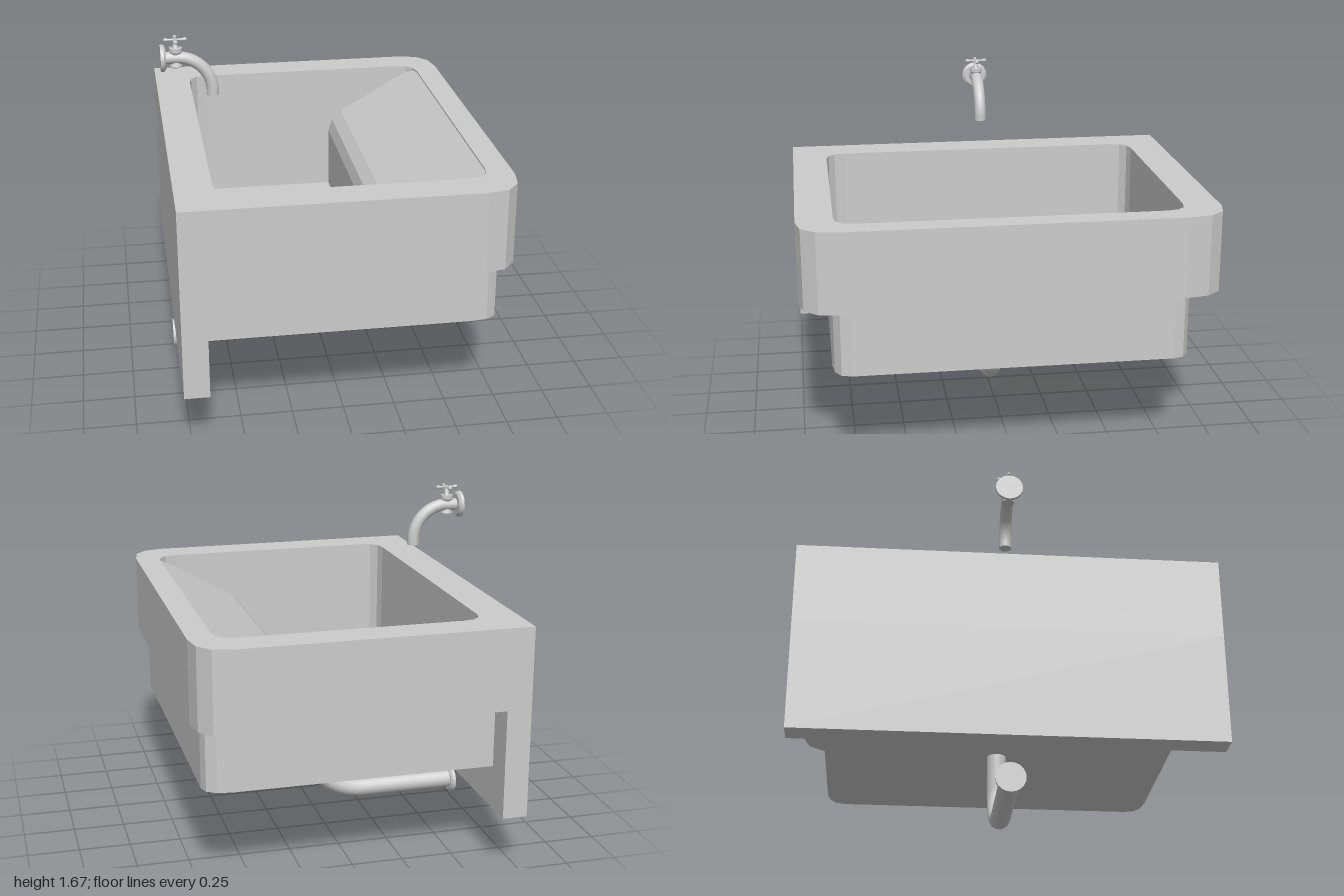
import * as THREE from 'three';

const V = (x, y, z = 0) => new THREE.Vector3(x, y, z);
const material = new THREE.MeshStandardMaterial({ color: 0xcccccc });

function add(parent, name, geometry, x = 0, y = 0, z = 0) {
  const mesh = new THREE.Mesh(geometry, material);
  mesh.name = name;
  mesh.position.set(x, y, z);
  parent.add(mesh);
  return mesh;
}

// Plan outline, square at the wall and rounded (cx by cz) at the outer corners
function planShape(x0, x1, z, cx, cz) {
  const s = new THREE.Shape();
  s.moveTo(x0, -z);
  s.lineTo(x1 - cx, -z);
  s.quadraticCurveTo(x1, -z, x1, -z + cz);
  s.lineTo(x1, z - cz);
  s.quadraticCurveTo(x1, z, x1 - cx, z);
  s.lineTo(x0, z);
  s.closePath();
  return s;
}

// Basin opening with four rounded corners
function basinHole(x0, x1, z, r) {
  const p = new THREE.Path();
  p.moveTo(x0 + r, -z);
  p.lineTo(x1 - r, -z);
  p.quadraticCurveTo(x1, -z, x1, -z + r);
  p.lineTo(x1, z - r);
  p.quadraticCurveTo(x1, z, x1 - r, z);
  p.lineTo(x0 + r, z);
  p.quadraticCurveTo(x0, z, x0, z - r);
  p.lineTo(x0, -z + r);
  p.quadraticCurveTo(x0, -z, x0 + r, -z);
  return p;
}

// Extrude a plan outline upwards
function slab(shape, y0, y1) {
  const g = new THREE.ExtrudeGeometry(shape, { depth: y1 - y0, bevelEnabled: false, curveSegments: 3 });
  return g.rotateX(-Math.PI / 2).translate(0, y0, 0);
}

function lathe(points, sides = 16) {
  return new THREE.LatheGeometry(points.map(([r, y]) => new THREE.Vector2(r, y)), sides);
}

// Straight, quarter bend, straight
function bentPipe(a, b, corner, c, d, radius, segments) {
  const k = 0.55;
  const path = new THREE.CurvePath();
  path.add(new THREE.LineCurve3(a, b));
  path.add(new THREE.CubicBezierCurve3(b, b.clone().lerp(corner, k), c.clone().lerp(corner, k), c));
  path.add(new THREE.LineCurve3(c, d));
  return new THREE.TubeGeometry(path, segments, radius, 16, false);
}

// Round wall plate with a chamfered rim, facing +x
function wallPlate(radius) {
  const g = lathe([[0, 0], [radius, 0], [radius, 0], [radius, 0.016], [radius, 0.016],
    [radius - 0.012, 0.026], [radius - 0.012, 0.026], [0, 0.026]], 20);
  return g.rotateZ(-Math.PI / 2);
}

export function createModel() {
  const model = new THREE.Group();
  model.name = 'utilitySink';

  // Basin
  const sink = new THREE.Group();
  sink.name = 'sink';
  model.add(sink);
  const hole = basinHole(-0.6, 0.66, 0.825, 0.1);

  const rim = planShape(-0.78, 0.78, 1, 0.17, 0.2);
  rim.holes.push(hole);
  add(sink, 'upperBasin', slab(rim, 0.805, 1.2));

  const lower = planShape(-0.66, 0.73, 0.855, 0.14, 0.09);
  lower.holes.push(hole);
  add(sink, 'lowerBasin', slab(lower, 0.52, 0.805));
  add(sink, 'basinFloor', slab(planShape(-0.66, 0.73, 0.855, 0.14, 0.09), 0.48, 0.52));
  add(sink, 'wallApron', new THREE.BoxGeometry(0.12, 0.535, 2), -0.72, 0.5375, 0);

  // Sloping washboard with a rounded lower edge
  const board = new THREE.Shape([[0.18, 0.51], [0.665, 0.51], [0.665, 1.195], [0.25, 0.955],
    [0.2, 0.905], [0.18, 0.84]].map(([x, y]) => new THREE.Vector2(x, y)));
  add(sink, 'washboard', new THREE.ExtrudeGeometry(board, { depth: 1.652, bevelEnabled: false }), 0, 0, -0.826);

  // Drain
  const drain = new THREE.Group();
  drain.name = 'drain';
  model.add(drain);
  add(drain, 'drainPipe', bentPipe(V(0, 0.49), V(0, 0.3), V(0, 0.074), V(-0.27, 0.074),
    V(-0.77, 0.074), 0.048, 40));
  add(drain, 'drainWallPlate', wallPlate(0.07), -0.78, 0.07, 0);

  // Tap
  const tap = new THREE.Group();
  tap.name = 'tap';
  model.add(tap);
  add(tap, 'tapWallPlate', wallPlate(0.066), -0.78, 1.575, 0);
  add(tap, 'spout', bentPipe(V(-0.77, 1.575), V(-0.7, 1.575), V(-0.53, 1.575), V(-0.53, 1.4),
    V(-0.53, 1.378), 0.03, 30));
  const spoutEnd = add(tap, 'spoutEnd', new THREE.CircleGeometry(0.03, 16), -0.53, 1.379, 0);
  spoutEnd.rotation.x = Math.PI / 2;
  add(tap, 'valveBody', lathe([[0, 1.53], [0.03, 1.53], [0.03, 1.535], [0.019, 1.56], [0.019, 1.585],
    [0.032, 1.605], [0.032, 1.605], [0.032, 1.625], [0.032, 1.625], [0.011, 1.628], [0.011, 1.672],
    [0, 1.674]]), -0.705, 0, 0);

  // Cross handle: two bars with rounded knobs
  const half = [[0.006, 0], [0.006, 0.035], [0.01, 0.043], [0.01, 0.05], [0.006, 0.056], [0, 0.058]];
  const bar = [...half.map(([r, y]) => [r, -y]).reverse(), ...half.slice(1)];
  for (const axis of ['x', 'z']) {
    const mesh = add(tap, 'handleBar', lathe(bar, 10), -0.705, 1.665, 0);
    mesh.rotation[axis] = Math.PI / 2;
  }
  return model;
}
